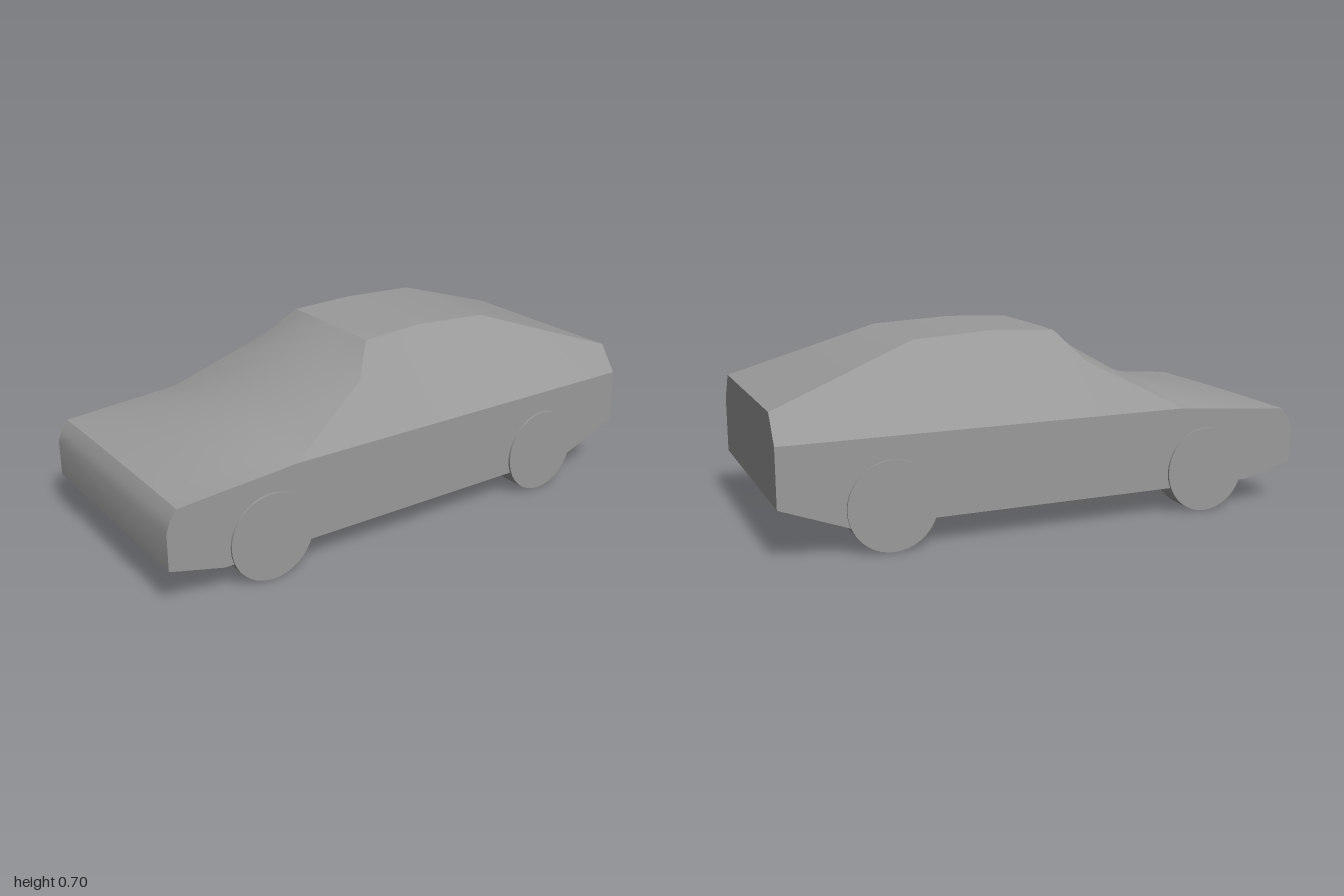
import * as THREE from 'three';
import { toCreasedNormals } from 'three/addons/utils/BufferGeometryUtils.js';

const HALF_WIDTH = 0.44;
const BELT = 0.4;
const CROWN_STEPS = 8;

// Body stations, nose to tail: z, underside y, top edge x, top edge y, centreline y
const STATIONS = [
  [1.0, 0.15, 0.44, 0.285, 0.285],
  [0.986, 0.146, 0.44, 0.326, 0.327],
  [0.96, 0.14, 0.44, 0.362, 0.365],
  [0.8, 0.10, 0.44, 0.376, 0.397],
  [0.62, 0.10, 0.44, 0.39, 0.43],
  [0.51, 0.10, 0.44, 0.40, 0.462],
  [0.4, 0.10, 0.40, 0.46, 0.50],
  [0.17, 0.10, 0.32, 0.58, 0.635],
  [0.08, 0.10, 0.23, 0.688, 0.69],
  [-0.16, 0.10, 0.22, 0.70, 0.70],
  [-0.46, 0.10, 0.23, 0.685, 0.685],
  [-0.76, 0.10, 0.308, 0.582, 0.582],
  [-1.0, 0.19, 0.37, 0.50, 0.50],
];

// One closed cross-section: side, belt line, crowned top, other side
function section([z, bottom, edgeX, edgeY, midY]) {
  const belt = Math.min(edgeY, BELT);
  const ring = [[HALF_WIDTH, bottom], [HALF_WIDTH, belt]];
  for (let i = 0; i <= CROWN_STEPS; i++) {
    const t = 1 - (2 * i) / CROWN_STEPS;
    ring.push([edgeX * t, midY - (midY - edgeY) * t * t]);
  }
  ring.push([-HALF_WIDTH, belt], [-HALF_WIDTH, bottom]);
  return ring.map(([x, y]) => new THREE.Vector3(x, y, z));
}

function bodyGeometry() {
  const rings = STATIONS.map(section);
  const n = rings[0].length;
  const positions = [];
  const triangle = (a, b, c) => {
    if (new THREE.Triangle(a, b, c).getArea() < 1e-7) return;
    for (const p of [a, b, c]) positions.push(p.x, p.y, p.z);
  };
  // Skin between neighbouring sections
  for (let i = 0; i < rings.length - 1; i++) {
    for (let j = 0; j < n; j++) {
      const k = (j + 1) % n;
      const a = rings[i][j], b = rings[i][k];
      const c = rings[i + 1][j], d = rings[i + 1][k];
      triangle(a, c, b);
      triangle(b, c, d);
    }
  }
  // Nose and tail caps
  const nose = rings[0], tail = rings[rings.length - 1];
  for (let j = 1; j < n - 1; j++) {
    triangle(nose[0], nose[j], nose[j + 1]);
    triangle(tail[0], tail[j + 1], tail[j]);
  }
  const geometry = new THREE.BufferGeometry();
  geometry.setAttribute('position', new THREE.Float32BufferAttribute(positions, 3));
  return toCreasedNormals(geometry, 0.42);
}

export function createModel() {
  const model = new THREE.Group();
  model.name = 'car';
  const darkGrey = new THREE.MeshStandardMaterial({ color: 0x9a9a9a });

  const body = new THREE.Mesh(bodyGeometry(), darkGrey);
  body.name = 'body';
  model.add(body);

  // Four wheels, standing slightly proud of the sides
  const wheelGeometry = new THREE.CylinderGeometry(0.16, 0.16, 0.097, 40).rotateZ(Math.PI / 2);
  for (const [end, z] of [['front', 0.615], ['rear', -0.61]]) {
    for (const [side, sign] of [['Left', 1], ['Right', -1]]) {
      const wheel = new THREE.Mesh(wheelGeometry, darkGrey);
      wheel.name = `${end}${side}Wheel`;
      wheel.position.set(sign * 0.3995, 0.16, z);
      model.add(wheel);
    }
  }
  return model;
}
